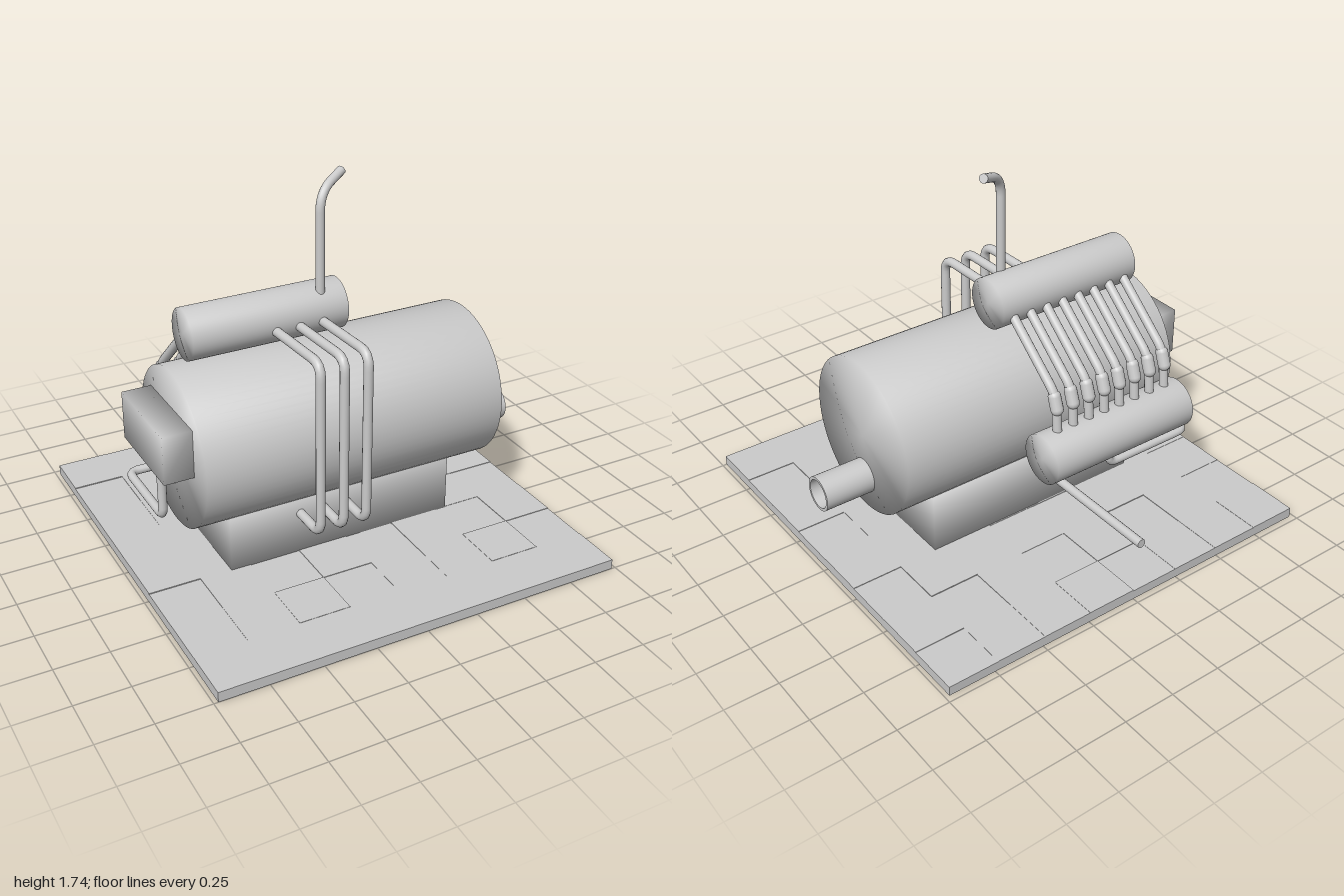
import * as THREE from 'three';
import { mergeVertices, toCreasedNormals } from 'three/addons/utils/BufferGeometryUtils.js';

const material = new THREE.MeshStandardMaterial({ color: 0xcccccc });
const doubleSided = new THREE.MeshStandardMaterial({ color: 0xcccccc, side: THREE.DoubleSide });
const V = (x, y, z) => new THREE.Vector3(x, y, z);

// Soft shading across all edges
function weld(geometry) {
  geometry.deleteAttribute('normal');
  geometry.deleteAttribute('uv');
  const welded = mergeVertices(geometry, 1e-4);
  welded.computeVertexNormals();
  return welded;
}

function add(parent, name, geometry, mat = material) {
  const mesh = new THREE.Mesh(geometry, mat);
  mesh.name = name;
  parent.add(mesh);
  return mesh;
}

// Closed cylinder lying along x
function drum(parent, name, x0, x1, y, z, r) {
  const g = new THREE.CylinderGeometry(r, r, x1 - x0, 64).rotateZ(-Math.PI / 2);
  add(parent, name, weld(g)).position.set((x0 + x1) / 2, y, z);
}

// Box given by its limits
function block(parent, name, x0, x1, y0, y1, z0, z1) {
  const g = weld(new THREE.BoxGeometry(x1 - x0, y1 - y0, z1 - z0));
  add(parent, name, g).position.set((x0 + x1) / 2, (y0 + y1) / 2, (z0 + z1) / 2);
}

// Round pipe through corner points with bends of the given size and flat ends
function pipe(parent, name, points, r, bend) {
  const path = new THREE.CurvePath();
  let from = points[0];
  for (let i = 1; i < points.length - 1; i++) {
    const p = points[i];
    const a = p.clone().add(points[i - 1].clone().sub(p).setLength(bend));
    const b = p.clone().add(points[i + 1].clone().sub(p).setLength(bend));
    path.add(new THREE.LineCurve3(from, a));
    path.add(new THREE.QuadraticBezierCurve3(a, p, b));
    from = b;
  }
  path.add(new THREE.LineCurve3(from, points[points.length - 1]));
  const group = new THREE.Group();
  group.name = name;
  add(group, name + 'Tube', new THREE.TubeGeometry(path, 64, r, 14));
  for (const t of [0, 1]) {
    const cap = add(group, name + 'End', new THREE.CircleGeometry(r, 14));
    const dir = path.getTangentAt(t).multiplyScalar(t ? 1 : -1);
    cap.position.copy(path.getPointAt(t));
    cap.quaternion.setFromUnitVectors(V(0, 0, 1), dir);
  }
  parent.add(group);
}

export function createModel() {
  const model = new THREE.Group();
  model.name = 'boiler';

  // Paved floor, slabs at slightly uneven heights
  const floor = new THREE.Group();
  floor.name = 'floor';
  model.add(floor);
  const n = 8, w = 1.96 / n, d = 1.97 / n;
  for (let i = 0; i < n; i++) {
    for (let j = 0; j < n; j++) {
      const h = 0.05 - ((i * 5 + j * 3 + i * j) % 4) * 0.0015;
      add(floor, 'floorTile', new THREE.BoxGeometry(w, h, d))
        .position.set(-0.98 + (i + 0.5) * w, h / 2, -0.97 + (j + 0.5) * d);
    }
  }

  // Main vessel, its plinth and the two side drums
  drum(model, 'mainVessel', -0.745, 0.74, 0.614, 0.036, 0.372);
  block(model, 'plinth', -0.585, 0.545, 0.045, 0.36, -0.225, 0.267);
  drum(model, 'upperDrum', -0.645, 0.11, 1.105, -0.042, 0.12);
  drum(model, 'lowerDrum', -0.688, 0.11, 0.495, -0.446, 0.12);

  // Header box on the vessel's end
  block(model, 'endBox', -0.885, -0.74, 0.58, 0.81, -0.2, 0.27);

  // Hollow outlet stub
  const profile = [[0.082, 0], [0.082, 0.25], [0.068, 0.25], [0.068, 0.17], [0, 0.17]]
    .map(([x, y]) => new THREE.Vector2(x, y));
  const stub = new THREE.LatheGeometry(profile, 40).rotateZ(-Math.PI / 2);
  add(model, 'outletStub', toCreasedNormals(stub, 0.6), doubleSided)
    .position.set(0.73, 0.404, 0.032);

  // Three front tubes looping from the upper drum down to the plinth
  for (const x of [-0.235, -0.12, -0.005]) {
    pipe(model, 'frontTube', [
      V(x - 0.015, 1.078, 0.03), V(x, 1.087, 0.46), V(x, 0.246, 0.46), V(x, 0.246, 0.2),
    ], 0.022, 0.07);
  }

  // Eight rear tubes joining the drums, each with a thick sleeve at its bend
  for (let i = 0; i < 8; i++) {
    const x = -0.608 + i * 0.09;
    pipe(model, 'rearTube', [
      V(x + 0.026, 1.09, -0.12), V(x, 0.785, -0.425), V(x, 0.56, -0.446),
    ], 0.022, 0.06);
    const sleeve = add(model, 'rearTubeSleeve', new THREE.CapsuleGeometry(0.03, 0.06, 6, 14));
    sleeve.position.set(x, 0.75, -0.425);
    sleeve.rotation.x = 0.35;
  }

  // Steam pipe rising from the upper drum
  pipe(model, 'steamPipe', [
    V(-0.005, 1.15, 0.018), V(-0.005, 1.665, 0.018), V(0.14, 1.72, -0.058),
  ], 0.021, 0.09);

  // Feed pipe leaving the lower drum to the rear
  pipe(model, 'feedPipe', [
    V(0, 0.45, -0.405), V(0, 0.328, -0.405), V(0, 0.328, -1),
  ], 0.021, 0.045);

  // Drain pipe from the end box, round the vessel and up into the lower drum
  pipe(model, 'drainPipe', [
    V(-0.807, 0.62, 0.03), V(-0.807, 0.266, 0.03), V(-0.807, 0.266, -0.403),
    V(-0.32, 0.266, -0.403), V(-0.32, 0.45, -0.403),
  ], 0.021, 0.05);

  return model;
}
